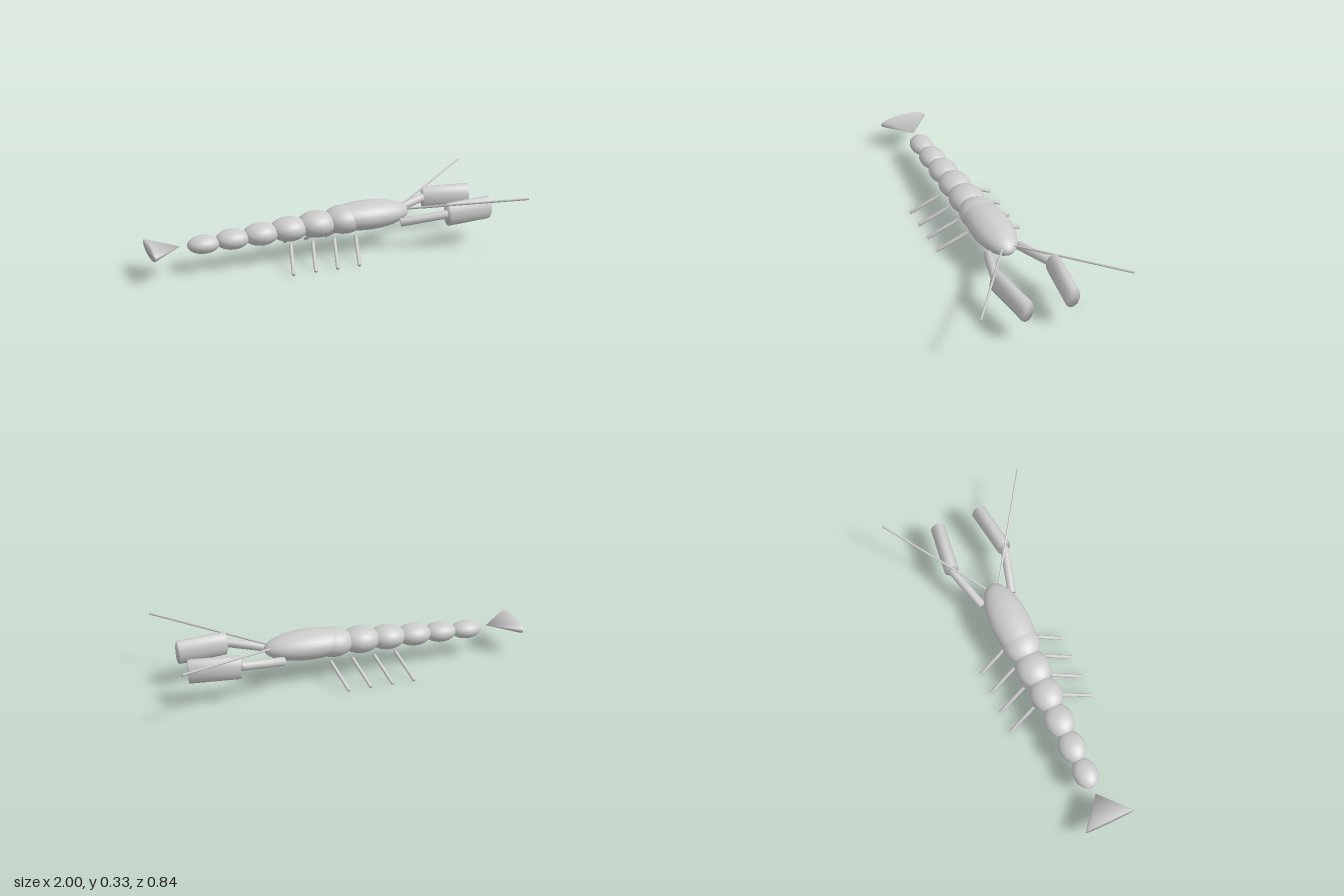
import * as THREE from 'three';
import { mergeVertices } from 'three/addons/utils/BufferGeometryUtils.js';

const material = new THREE.MeshStandardMaterial({ color: 0xcccccc });

// Shared vertices give soft shading across the rims
function soften(geometry) {
  geometry.deleteAttribute('normal');
  geometry.deleteAttribute('uv');
  const merged = mergeVertices(geometry, 1e-5);
  merged.computeVertexNormals();
  return merged;
}

export function createModel() {
  const model = new THREE.Group();

  const add = (name, geometry) => {
    const mesh = new THREE.Mesh(geometry, material);
    mesh.name = name;
    model.add(mesh);
    return mesh;
  };

  // Ellipsoid whose poles lie along the body
  const ellipsoid = (name, x, y, rx, ry, rz) => {
    const mesh = add(name, new THREE.SphereGeometry(1, 32, 20).rotateZ(-Math.PI / 2));
    mesh.position.set(x, y, 0);
    mesh.scale.set(rx, ry, rz);
  };

  // Rod between two points; depth flattens it sideways
  const rod = (name, from, to, radius, sides, depth = 1) => {
    const a = new THREE.Vector3(...from);
    const b = new THREE.Vector3(...to);
    const axis = b.clone().sub(a);
    const geometry = new THREE.CylinderGeometry(radius, radius, axis.length(), sides);
    geometry.rotateY(Math.PI / sides).scale(1, 1, depth);
    const mesh = add(name, soften(geometry));
    const dir = axis.normalize();
    const side = new THREE.Vector3(0, 1, 0).cross(dir).normalize();
    const up = dir.clone().cross(side);
    mesh.quaternion.setFromRotationMatrix(new THREE.Matrix4().makeBasis(up, dir, side));
    mesh.position.copy(a).add(b).multiplyScalar(0.5);
  };

  // Carapace and tapering abdomen
  ellipsoid('carapace', 0.22, 0.198, 0.25, 0.08, 0.11);
  for (let i = 0; i < 6; i++) {
    ellipsoid('abdomenSegment' + (i + 1), 0.085 - i * 0.159, 0.19 - i * 0.008,
      0.115 - i * 0.0055, 0.078 - i * 0.006, 0.104 - i * 0.0075);
  }

  // Flattened tail fan, its point towards the body
  const fanShape = new THREE.ConeGeometry(1, 0.165, 32).rotateZ(-Math.PI / 2);
  const fan = add('tailFan', soften(fanShape.scale(1, 0.041, 0.142)));
  fan.position.set(-0.9175, 0.155, 0);

  for (const s of [1, -1]) {
    const side = s > 0 ? 'right' : 'left';

    // Walking legs
    for (let i = 0; i < 4; i++) {
      const x = -0.297 + i * 0.125;
      rod(side + 'Leg' + (i + 1), [x + 0.045, 0.114, s * 0.082], [x, 0.009, s * 0.249], 0.01, 10);
    }

    // Claw arm, claw and antenna
    rod(side + 'ClawArm', [0.39, 0.16, s * 0.09], [0.64, 0.2, s * 0.162], 0.024, 12);
    rod(side + 'Claw', [0.643, 0.198, s * 0.162], [0.91, 0.198, s * 0.126], 0.066, 12, 0.63);
    rod(side + 'Antenna', [0.45, 0.217, s * 0.038], [0.998, 0.322, s * 0.415], 0.006, 8);
  }
  return model;
}
